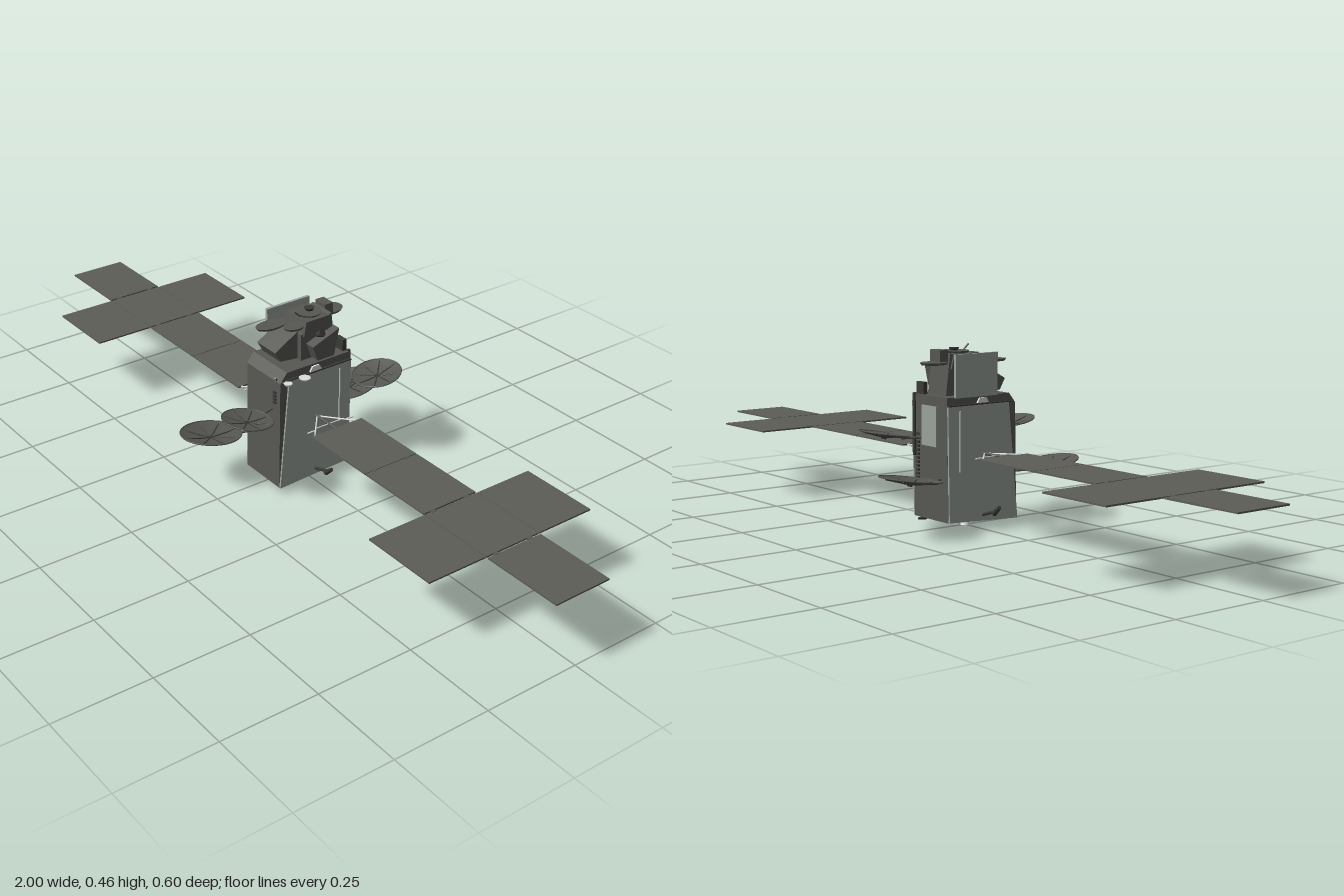
import * as THREE from 'three';

export function createModel() {
  const root = new THREE.Group();
  root.name = 'satellite';
  const mat = (name, color, side = THREE.FrontSide) => {
    const m = new THREE.MeshStandardMaterial({ color, side });
    m.name = name;
    return m;
  };
  const dark = mat('dark grey', 0x575853, THREE.DoubleSide);
  const solar = mat('solar grey', 0x5c5d56);
  const light = mat('radiator grey', 0x9aa39c);
  const white = mat('white', 0xdcdedc, THREE.DoubleSide);
  const black = mat('charcoal', 0x3a3b38);

  const add = (name, geo, m, parent = root) => {
    const mesh = new THREE.Mesh(geo, m);
    mesh.name = name;
    parent.add(mesh);
    return mesh;
  };
  const box = (name, x0, x1, y0, y1, z0, z1, m, parent) => {
    const mesh = add(name, new THREE.BoxGeometry(x1 - x0, y1 - y0, z1 - z0), m, parent);
    mesh.position.set((x0 + x1) / 2, (y0 + y1) / 2, (z0 + z1) / 2);
    return mesh;
  };
  // Side outline of [z, y] points, extruded from x0 to x1
  const prism = (name, pts, x0, x1, m, parent) => {
    const shape = new THREE.Shape(pts.map(([z, y]) => new THREE.Vector2(-z, y)));
    const geo = new THREE.ExtrudeGeometry(shape, { depth: x1 - x0, bevelEnabled: false });
    geo.rotateY(Math.PI / 2).translate(x0, 0, 0);
    return add(name, geo, m, parent);
  };
  const rod = (name, a, b, r0, r1, m, parent) => {
    const p = new THREE.Vector3(...a), q = new THREE.Vector3(...b);
    const d = q.clone().sub(p);
    const mesh = add(name, new THREE.CylinderGeometry(r1, r0, d.length(), 12), m, parent);
    mesh.position.copy(p).add(q).multiplyScalar(0.5);
    mesh.quaternion.setFromUnitVectors(new THREE.Vector3(0, 1, 0), d.normalize());
    return mesh;
  };

  // Main body with its side radiators
  prism('body', [[0.11, 0.016], [0.105, 0.31], [0.085, 0.335], [-0.108, 0.335], [-0.105, 0.025]], -0.07, 0.07, dark);
  const radiator = [[0.11, 0.016], [0.081, 0.313], [-0.108, 0.313], [-0.104, 0.026]];
  for (const s of [-1, 1]) {
    prism('sideRadiator', radiator, s > 0 ? 0.07 : -0.075, s > 0 ? 0.075 : -0.07, light);
    box('whiteStrip', s > 0 ? 0.075 : -0.077, s > 0 ? 0.077 : -0.075, 0.15, 0.3, -0.074, -0.071, white);
    box('upperTrim', s > 0 ? 0.07 : -0.076, s > 0 ? 0.076 : -0.07, 0.313, 0.316, -0.108, 0.09, black);
    prism('whiteBracket', [[0.018, 0.317], [0.01, 0.33], [-0.01, 0.33], [-0.018, 0.317]],
      s > 0 ? 0.07 : -0.075, s > 0 ? 0.075 : -0.07, white);
  }
  box('backPanel', -0.03, 0.03, 0.21, 0.31, -0.112, -0.106, light);
  box('backEdge', 0.06, 0.068, 0.18, 0.337, -0.112, -0.104, black);
  for (let i = 0; i < 12; i++) box('backStud', 0.045, 0.055, 0.122 + i * 0.01, 0.128 + i * 0.01, -0.111, -0.103, black);
  for (let i = 0; i < 4; i++) box('frontStud', 0.045, 0.055, 0.25 + i * 0.009, 0.255 + i * 0.009, 0.104, 0.111, black);
  rod('frontAntenna', [0.05, 0.31, 0.1], [0.06, 0.325, 0.113], 0.002, 0.002, dark);

  // Engine nozzle and side thrusters
  rod('engineNozzle', [0, 0, 0], [0, 0.015, 0], 0.012, 0.006, white).material = white;
  rod('engineMount', [0, 0.013, 0], [0, 0.025, 0], 0.02, 0.02, black);
  rod('rearThruster', [0.05, 0.02, -0.085], [0.05, 0.02, -0.108], 0.005, 0.003, black);
  for (const s of [-1, 1]) {
    rod('thrusterArm', [s * 0.073, 0.036, 0], [s * 0.125, 0.052, 0], 0.004, 0.004, black);
    rod('thrusterHead', [s * 0.118, 0.045, 0], [s * 0.14, 0.064, 0], 0.007, 0.005, black);
  }

  // Solar wings and their yokes
  for (const s of [-1, 1]) {
    const wing = new THREE.Group();
    wing.name = s > 0 ? 'leftWing' : 'rightWing';
    root.add(wing);
    const panel = (a, b, z0, z1) =>
      box('solarPanel', Math.min(s * a, s * b), Math.max(s * a, s * b), 0.189, 0.193, z0, z1, solar, wing);
    panel(0.156, 0.366, -0.08, 0.075);
    panel(0.368, 0.577, -0.08, 0.075);
    panel(0.582, 0.785, -0.08, 0.075);
    panel(0.582, 0.785, -0.24, -0.082);
    panel(0.582, 0.785, 0.077, 0.236);
    panel(0.791, 1, -0.08, 0.075);
    for (const x of [0.367, 0.58, 0.788]) for (const z of [-0.05, 0.05])
      box('hinge', s * x - 0.005, s * x + 0.005, 0.1885, 0.1935, z - 0.006, z + 0.006, dark, wing);
    rod('wingShaft', [s * 0.07, 0.191, 0], [s * 0.156, 0.191, 0], 0.004, 0.003, dark, wing);
    for (const z of [-1, 1]) {
      rod('yokeArm', [s * 0.08, 0.191, 0], [s * 0.157, 0.191, z * 0.065], 0.002, 0.002, white, wing);
      rod('yokeBrace', [s * 0.135, 0.191, z * 0.046], [s * 0.135, 0.191, z * 0.07], 0.002, 0.002, white, wing);
    }
    rod('yokeBar', [s * 0.128, 0.191, -0.04], [s * 0.128, 0.191, 0.04], 0.0015, 0.0015, white, wing);
  }

  // Shallow reflector dishes with ribs below
  const dish = (name, x, y, z, rx, rz, depth, tilt) => {
    const g = new THREE.Group();
    g.name = name;
    const profile = [];
    for (let i = 0; i <= 6; i++) profile.push(new THREE.Vector2(i / 6, (i / 6) ** 2 - 1));
    add('dishBowl', new THREE.LatheGeometry(profile, 32), dark, g).scale.set(rx, depth, rz);
    const rim = add('dishRim', new THREE.TorusGeometry(1, 0.018, 6, 32), dark, g);
    rim.geometry.rotateX(Math.PI / 2);
    rim.scale.set(rx, 0.1, rz);
    for (let i = 0; i < 8; i++) {
      const a = i * Math.PI / 4, c = Math.cos(a), d = Math.sin(a);
      rod('dishRib', [0, -depth - 0.001, 0], [c * rx * 0.9, -depth * 0.3, d * rz * 0.9], 0.0015, 0.0015, black, g);
    }
    rod('dishHub', [0, -depth - 0.005, 0], [0, -depth + 0.001, 0], 0.006, 0.008, black, g);
    g.position.set(x, y, z);
    g.rotation.x = tilt;
    root.add(g);
  };
  for (const s of [-1, 1]) {
    dish('largeDish', -0.07, 0.147, s * 0.218, 0.067, 0.082, 0.012, -s * 0.15);
    dish('smallDish', 0.065, 0.242, s * 0.2, 0.062, 0.064, 0.009, -s * 0.17);
    rod('largeDishArm', [-0.04, 0.131, s * 0.105], [-0.058, 0.131, s * 0.165], 0.003, 0.003, dark);
    rod('smallDishArm', [0.035, 0.227, s * 0.105], [0.05, 0.228, s * 0.16], 0.003, 0.003, dark);
  }

  // Antenna tower on the top deck
  const tower = new THREE.Group();
  tower.name = 'antennaTower';
  root.add(tower);
  box('towerPlate', -0.075, -0.067, 0.333, 0.44, -0.085, 0.045, light, tower);
  prism('towerBase', [[0.02, 0.335], [0.02, 0.405], [-0.072, 0.44], [-0.085, 0.335]], -0.035, 0.04, dark, tower);
  prism('towerHead', [[0.015, 0.4], [0.008, 0.438], [-0.062, 0.438], [-0.072, 0.4]], -0.04, 0.045, dark, tower);
  prism('frontHorn', [[0.088, 0.37], [0.072, 0.342], [0.01, 0.335], [0.018, 0.41]], -0.05, 0.025, dark, tower);
  prism('sideHorn', [[0.005, 0.378], [-0.01, 0.338], [-0.06, 0.338], [-0.075, 0.408]], 0.03, 0.068, dark, tower);
  box('rearFoot', 0.03, 0.06, 0.335, 0.365, -0.105, -0.093, black, tower);
  box('rearBox', -0.03, 0.01, 0.415, 0.448, -0.1, -0.075, dark, tower);
  const plate = (name, x, y, z, rx, rz) => {
    const m = add(name, new THREE.CylinderGeometry(1, 0.9, 0.006, 28), dark, tower);
    m.scale.set(rx, 1, rz);
    m.position.set(x, y, z);
  };
  plate('frontReflector', -0.03, 0.416, 0.06, 0.024, 0.044);
  plate('frontUpperReflector', 0.03, 0.429, 0.035, 0.022, 0.028);
  plate('rearReflector', -0.02, 0.416, -0.11, 0.03, 0.037);
  plate('topReflector', 0, 0.44, -0.03, 0.036, 0.034);
  rod('topFeed', [0, 0.438, -0.034], [0, 0.45, -0.034], 0.007, 0.013, black, tower);
  rod('topAntenna', [0.01, 0.438, 0], [0.01, 0.456, 0.019], 0.002, 0.002, dark, tower);
  rod('sideFeed', [0.045, 0.395, -0.025], [0.06, 0.405, -0.03], 0.006, 0.01, black, tower);

  // Small deck antennas
  for (const [z, r] of [[0.05, 0.015], [0.1, 0.011]]) {
    rod('deckArm', [0.068, 0.312, z], [0.095, 0.318, z], 0.002, 0.002, dark);
    rod('deckAntenna', [0.095, 0.316, z], [0.095, 0.322, z], r * 0.7, r, white);
  }
  return root;
}
